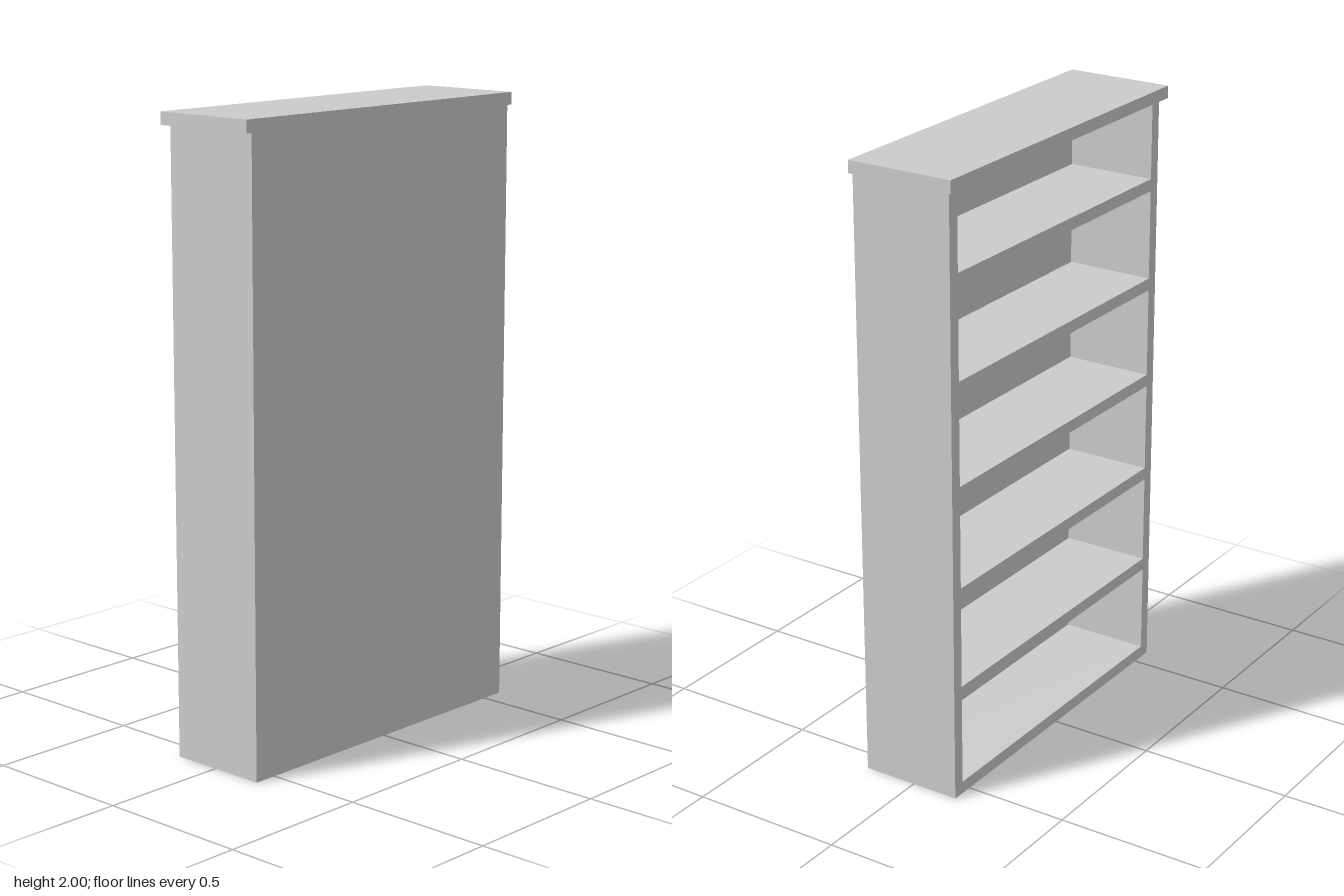
import * as THREE from 'three';

// Bookcase: open towards -x, closed by a back panel at +x
export function createModel() {
  const group = new THREE.Group();
  const material = new THREE.MeshStandardMaterial({ color: 0xcccccc });

  const T = 0.04;                     // board thickness
  const front = -0.158, back = 0.178; // carcass depth along x
  const half = 0.577;                 // carcass half width along z
  const capY = 2 - T;

  // Board given by its lower and upper corner
  const board = (name, [x0, y0, z0], [x1, y1, z1]) => {
    const mesh = new THREE.Mesh(new THREE.BoxGeometry(x1 - x0, y1 - y0, z1 - z0), material);
    mesh.position.set((x0 + x1) / 2, (y0 + y1) / 2, (z0 + z1) / 2);
    mesh.name = name;
    group.add(mesh);
  };

  // Overhanging top, flush with the back
  board('topBoard', [-0.178, capY, -0.597], [back, 2, 0.597]);

  // Side walls
  board('sidePanelFront', [front, 0, half - T], [back, capY, half]);
  board('sidePanelRear', [front, 0, -half], [back, capY, -half + T]);

  // Back panel between the sides
  const inner = half - T;
  board('backPanel', [back - T, 0, -inner], [back, capY, inner]);

  // Bottom board and five shelves at an even pitch
  for (let i = 0; i < 6; i++) {
    const y = i / 3;
    board(i ? `shelf${i}` : 'bottomBoard', [front, y, -inner], [back - T, y + T, inner]);
  }
  return group;
}
